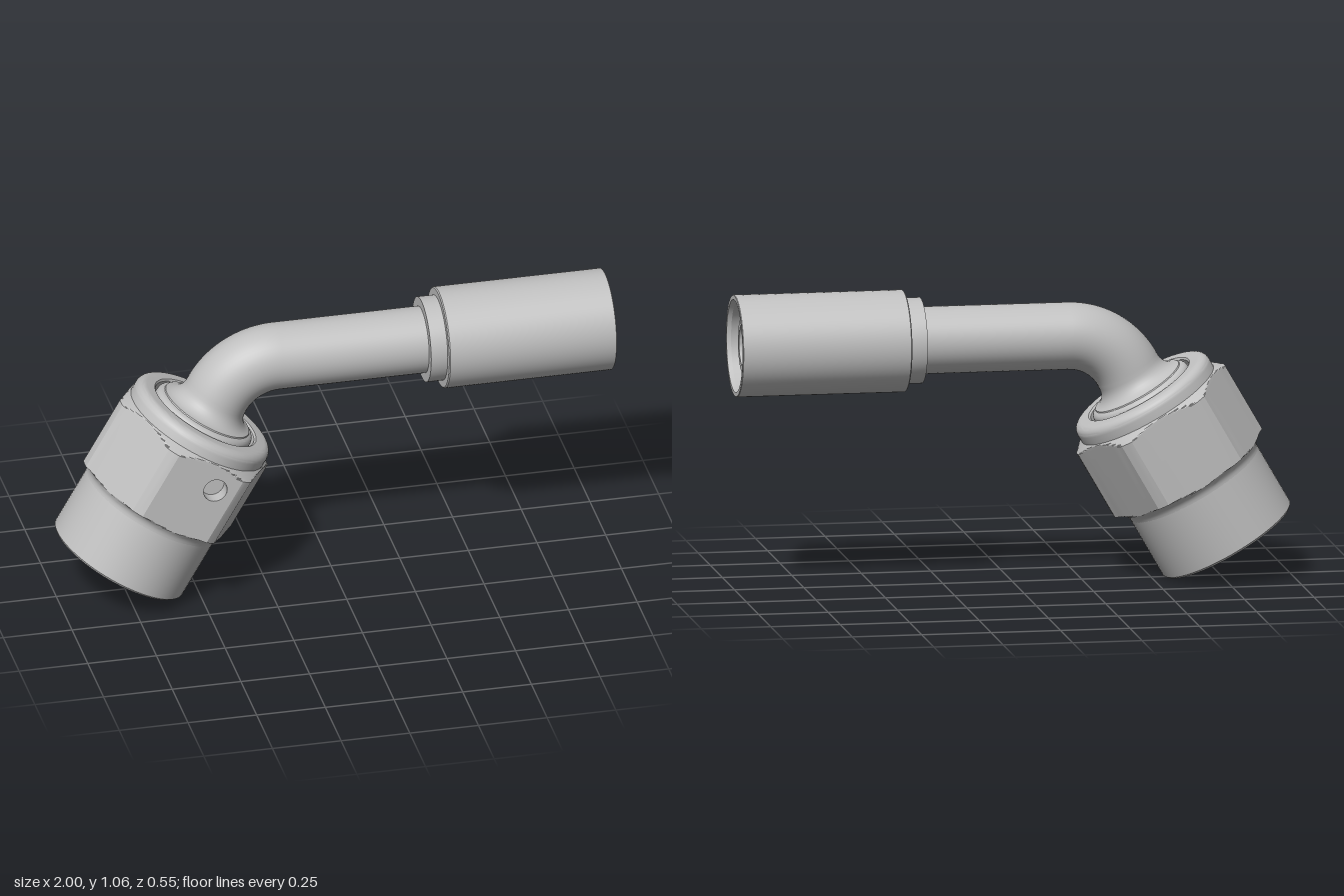
import * as THREE from 'three';
import { toCreasedNormals } from 'three/addons/utils/BufferGeometryUtils.js';

const metal = new THREE.MeshStandardMaterial({ color: 0xc0c0c0, side: THREE.DoubleSide });
metal.name = 'grey metal';

const BORE = 0.078, TUBE = 0.12, BEND = 0.245;   // tube bore, tube radius, bend radius
const FLAT = 0.275, CORNER = 0.306;              // hexagon flat distance, turned corner radius

function add(parent, name, geometry) {
  const mesh = new THREE.Mesh(geometry, metal);
  mesh.name = name;
  parent.add(mesh);
  return mesh;
}

// Turned part from [radius, height] points, sharp edges kept
function turned(points, segments = 64) {
  const profile = points.map(([r, y]) => new THREE.Vector2(r, y));
  return toCreasedNormals(new THREE.LatheGeometry(profile, segments), 0.4);
}

// Quarter-round profile points about a centre
function arc(cx, cy, radius, from, to, steps = 7) {
  return Array.from({ length: steps + 1 }, (_, i) => {
    const a = THREE.MathUtils.degToRad(from + (to - from) * i / steps);
    return [cx + radius * Math.cos(a), cy + radius * Math.sin(a)];
  });
}

// Hexagon limited by a turned profile; leaves out the drilled front flat
function hexGeometry() {
  const half = Math.acos(FLAT / CORNER), steps = 10, columns = [];
  for (let k = 0; k < 6; k++) {
    for (let s = 0; s <= steps; s++) {
      const phi = half * (2 * s / steps - 1);
      columns.push([k * Math.PI / 3 + phi, FLAT / Math.cos(phi)]);
    }
    columns.push([k * Math.PI / 3 + Math.PI / 6, CORNER]);
  }
  const rings = arc(CORNER, 0.24, 0.045, 180, 90, 9);
  const openRing = rings.length - 1;
  for (let i = 0; i <= 8; i++) rings.push([CORNER - 0.036 * i / 8, 0.552 + 0.024 * i / 8]);

  const positions = [], index = [], n = columns.length;
  for (const [limit, y] of rings) {
    for (const [angle, flat] of columns) {
      const r = Math.min(limit, flat);
      positions.push(r * Math.sin(angle), y, r * Math.cos(angle));
    }
  }
  for (let i = 0; i < rings.length - 1; i++) {
    for (let j = 0; j < n; j++) {
      if (i === openRing && j < steps) continue;
      const a = i * n + j, b = i * n + (j + 1) % n;
      index.push(a, b, b + n, a, b + n, a + n);
    }
  }
  const geometry = new THREE.BufferGeometry();
  geometry.setAttribute('position', new THREE.Float32BufferAttribute(positions, 3));
  geometry.setIndex(index);
  return toCreasedNormals(geometry, 0.35);
}

function buildNut() {
  const nut = new THREE.Group();
  nut.name = 'swivelNut';

  // Round skirt with open bore
  add(nut, 'nutSkirt', turned([
    [0.14, 0.42], [0.232, 0.42], [0.232, 0.02], [0.248, 0], [0.254, 0], [0.261, 0.008], [0.261, 0.242],
  ]));
  add(nut, 'hexagon', hexGeometry());

  // Front flat with its drilled hole
  const w = Math.sqrt(CORNER * CORNER - FLAT * FLAT);
  const hx = 0.058, hy = 0.482, hr = 0.043;
  const face = new THREE.Shape();
  face.moveTo(-w, 0.285).lineTo(w, 0.285).lineTo(w, 0.552).lineTo(-w, 0.552).closePath();
  const hole = new THREE.Path();
  hole.absarc(hx, hy, hr, 0, Math.PI * 2, true);
  face.holes.push(hole);
  add(nut, 'drilledFlat', new THREE.ShapeGeometry(face, 24)).position.z = FLAT;
  const wall = add(nut, 'pinHoleWall', new THREE.CylinderGeometry(hr, hr, 0.05, 32, 1, true));
  wall.rotation.x = Math.PI / 2;
  wall.position.set(hx, hy, FLAT - 0.025);
  add(nut, 'pinHoleFloor', new THREE.CircleGeometry(hr, 32)).position.set(hx, hy, FLAT - 0.05);

  // Rolled collar on top of the nut
  add(nut, 'nutCollar', turned([
    [0.27, 0.57], ...arc(0.238, 0.605, 0.032, 0, 90), [0.206, 0.637], [0.2, 0.631], [0.2, 0.59], [0.185, 0.59],
  ]));

  // Flared foot of the tube and its sealing nose in the bore
  add(nut, 'tubeFoot', turned([
    [0.192, 0.59], ...arc(0.167, 0.622, 0.025, 0, 80, 5),
    ...arc(0.18, 0.71, 0.06, 260, 180, 7), [TUBE, 0.727],
  ]));
  add(nut, 'sealingNose', turned([
    [BORE, 0.727], [BORE, 0.28], [0.11, 0.28], [0.17, 0.38], [0.17, 0.42],
  ]));

  nut.position.set(-0.775, 0.135, 0);
  nut.rotation.z = -Math.PI / 6;
  return nut;
}

function buildTube() {
  const tube = new THREE.Group();
  tube.name = 'bentTube';
  for (const [name, r] of [['outer', TUBE], ['bore', BORE]]) {
    // Straight run along x
    const length = 0.56;
    const run = add(tube, name + 'Straight', new THREE.CylinderGeometry(r, r, length, 48, 1, true));
    run.rotation.z = Math.PI / 2;
    run.position.set(-0.2 + length / 2, 0.887, 0);
    // Sixty degree bend down into the nut
    const bend = add(tube, name + 'Bend', new THREE.TorusGeometry(BEND, r, 48, 32, Math.PI / 3));
    bend.rotation.z = Math.PI / 2;
    bend.position.set(-0.2, 0.887 - BEND, 0);
  }
  return tube;
}

function buildHoseEnd() {
  // Profiles run along the tube; local y becomes +x
  const end = new THREE.Group();
  end.name = 'hoseEnd';
  add(end, 'backCollar', turned([[TUBE - 0.005, 0.33], [0.153, 0.33], [0.153, 0.395]]));
  add(end, 'crimpSleeve', turned([
    [0.15, 0.39], [0.178, 0.39], [0.182, 0.394], [0.182, 0.998], [0.18, 1],
    [0.165, 1], [0.156, 0.985], [0.156, 0.75], [0.105, 0.75],
  ]));
  add(end, 'hoseNipple', turned([
    [0.111, 0.75], [0.111, 0.96], [0.102, 0.97], [BORE, 0.97], [BORE, 0.355],
  ]));
  end.rotation.z = -Math.PI / 2;
  end.position.y = 0.887;
  return end;
}

export function createModel() {
  const model = new THREE.Group();
  model.name = 'angledHoseFitting';
  model.add(buildNut(), buildTube(), buildHoseEnd());
  return model;
}
